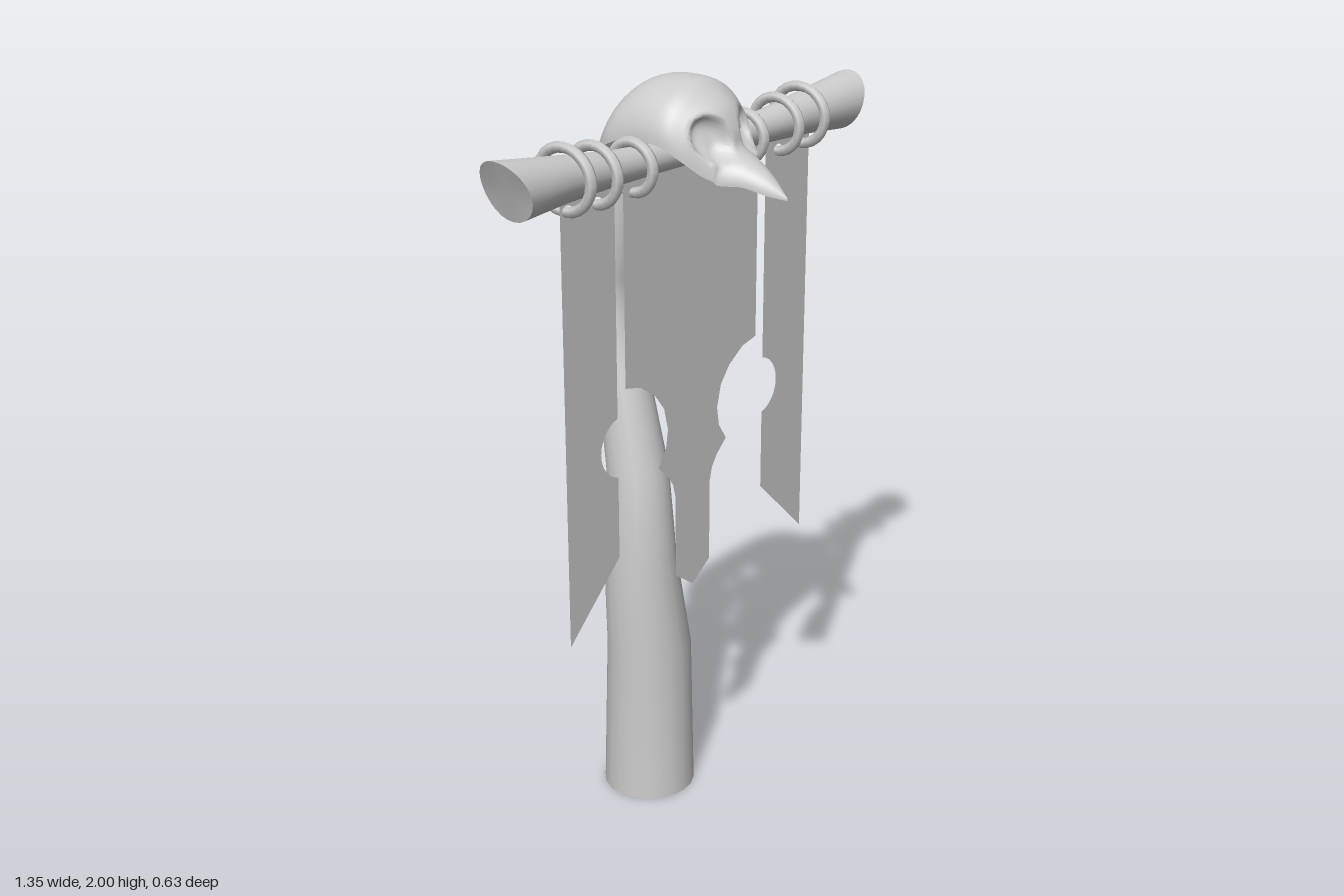
import * as THREE from 'three';

const grey = new THREE.MeshStandardMaterial({ color: 0xcccccc });
const thin = new THREE.MeshStandardMaterial({ color: 0xcccccc, side: THREE.DoubleSide });

function add(group, name, geometry, material = grey) {
  const mesh = new THREE.Mesh(geometry, material);
  mesh.name = name;
  group.add(mesh);
  return mesh;
}

// Skin a list of equal-length cross-sections; closed ones get end caps
function loft(sections, closed) {
  const n = sections[0].length, pos = [], idx = [];
  sections.forEach(s => s.forEach(p => pos.push(p.x, p.y, p.z)));
  for (let i = 0; i < sections.length - 1; i++) {
    for (let j = 0; j < (closed ? n : n - 1); j++) {
      const k = (j + 1) % n, a = i * n + j, b = i * n + k;
      idx.push(a, b, a + n, b, b + n, a + n);
    }
  }
  if (closed) {
    [sections[0], sections[sections.length - 1]].forEach((s, end) => {
      const base = pos.length / 3;
      const mid = s.reduce((m, p) => m.add(p), new THREE.Vector3()).divideScalar(n);
      [mid, ...s].forEach(p => pos.push(p.x, p.y, p.z));
      for (let j = 0; j < n; j++) {
        const a = base + 1 + j, b = base + 1 + (j + 1) % n;
        if (end) idx.push(base, a, b); else idx.push(base, b, a);
      }
    });
  }
  const g = new THREE.BufferGeometry();
  g.setAttribute('position', new THREE.Float32BufferAttribute(pos, 3));
  g.setIndex(idx);
  g.computeVertexNormals();
  return g;
}

function ring(c, u, v, r, n) {
  return Array.from({ length: n }, (_, j) => {
    const a = j / n * Math.PI * 2;
    return c.clone().addScaledVector(u, r * Math.cos(a)).addScaledVector(v, r * Math.sin(a));
  });
}

// Crooked pole, tapering and hooking forward under the skull: x, y, z, radius
function poleGeometry() {
  const path = [
    [-0.005, 0, -0.122, 0.125], [-0.002, 0.43, -0.122, 0.115], [-0.037, 0.7, -0.121, 0.098],
    [-0.021, 0.94, -0.141, 0.083], [-0.01, 1.2, -0.2, 0.069], [0, 1.35, -0.248, 0.065],
    [0, 1.47, -0.244, 0.065], [0, 1.72, -0.168, 0.06], [0, 1.8, -0.125, 0.055], [0, 1.845, -0.03, 0.047]];
  const pts = path.map(p => new THREE.Vector3(p[0], p[1], p[2]));
  const X = new THREE.Vector3(1, 0, 0);
  return loft(pts.map((c, i) => {
    const t = i === 0 ? new THREE.Vector3(0, 1, 0)
      : pts[Math.min(i + 1, pts.length - 1)].clone().sub(pts[i - 1]).normalize();
    const v = t.clone().cross(X).normalize();
    return ring(c, v.clone().cross(t).normalize(), v, path[i][3], 20);
  }), true);
}

// Crossbar flaring to obliquely cut, slightly bowed ends: x, centre y, radius, slant, bow
function crossbarGeometry() {
  const Y = new THREE.Vector3(0, 1, 0), Z = new THREE.Vector3(0, 0, 1);
  const half = [[0.12, 1.818, 0.036, 0, 0], [0.3, 1.823, 0.043, 0, 0],
    [0.48, 1.831, 0.057, 0.1, 0], [0.635, 1.837, 0.074, 0.4, 1.8]];
  const all = [...half.map(([x, ...r]) => [-x, ...r]).reverse(), ...half];
  return loft(all.map(([x, y, r, slant, bow]) => {
    const s = ring(new THREE.Vector3(x, y, 0.019), Y, Z, r, 24);
    s.forEach(p => { p.x += Math.sign(x) * (slant * (p.y - y) + bow * (p.y - y) ** 2); });
    return s;
  }), true);
}

// Hollow bird skull: arches along z, given as z, half width, crown y, rim y
function skullGeometry() {
  const keys = [
    [-0.195, 0.098, 1.8, 1.785], [-0.172, 0.122, 1.88, 1.805], [-0.12, 0.152, 1.957, 1.835],
    [-0.05, 0.156, 1.993, 1.86], [0.045, 0.155, 1.994, 1.855], [0.095, 0.136, 1.968, 1.825],
    [0.135, 0.107, 1.935, 1.79], [0.16, 0.09, 1.885, 1.775], [0.172, 0.08, 1.842, 1.765],
    [0.22, 0.052, 1.815, 1.763], [0.27, 0.028, 1.783, 1.747], [0.315, 0.001, 1.742, 1.736]];
  const heights = new THREE.CatmullRomCurve3(keys.map(k => new THREE.Vector3(k[0], k[2], k[3])), false, 'catmullrom');
  const widths = new THREE.CatmullRomCurve3(keys.map(k => new THREE.Vector3(k[0], k[1], 0)), false, 'catmullrom');
  const sections = [], rows = 55, cols = 40;
  for (let i = 0; i <= rows; i++) {
    const h = heights.getPoint(i / rows), w = widths.getPoint(i / rows).y;
    const s = [];
    for (let j = 0; j <= cols; j++) {
      const a = j / cols * Math.PI;
      const p = new THREE.Vector3(w * Math.cos(a), h.z + (h.y - h.z) * Math.sin(a), h.x);
      // Tall eye sockets pushed into the face either side of the nose ridge
      const d = Math.hypot((Math.abs(p.x) - 0.064) / 0.046, (p.y - 1.868) / 0.056);
      if (p.z > 0.06 && d < 1) p.z -= 0.045 * (1 - d ** 3);
      s.push(p);
    }
    sections.push(s);
  }
  return loft(sections, false);
}

// Flat cloth with small eyelets where the rings pass through
function panelGeometry(shape, holeXs) {
  holeXs.forEach(x => {
    const hole = new THREE.Path();
    hole.absellipse(x, 1.755, 0.018, 0.014, 0, Math.PI * 2, true);
    shape.holes.push(hole);
  });
  return new THREE.ShapeGeometry(shape, 10);
}

// Middle cloth with round bites above a pointed tail
function centrePanel() {
  const side = s => [[0.261, 1.275], [0.205, 1.262], [0.15, 1.225], [0.115, 1.18], [0.1, 1.12],
    [0.108, 1.07], [0.138, 1.025], [0.1, 0.99], [0.08, 0.96], [0.07, 0.92], [0.07, 0.7]]
    .map(([x, y]) => new THREE.Vector2(s * x - 0.003, y));
  return new THREE.Shape([new THREE.Vector2(-0.264, 1.785), ...side(-1), new THREE.Vector2(-0.003, 0.65),
    ...side(1).reverse(), new THREE.Vector2(0.258, 1.785)]);
}

// Side cloth with a round notch on its inner edge and a slanted hem
function sidePanel(s) {
  const o = s > 0 ? 0.01 : 0;
  const pts = [[0.475, 1.785], [0.475, 0.65], [0.288, 0.83], [0.288, 1.045]];
  for (let i = 0; i <= 12; i++) {
    const a = -1.35 + i / 12 * 2.7;
    pts.push([0.27 + 0.08 * Math.cos(a), 1.125 + 0.08 * Math.sin(a)]);
  }
  pts.push([0.288, 1.205], [0.288, 1.785]);
  return new THREE.Shape(pts.map(([x, y]) => new THREE.Vector2(s * (x + o), y)));
}

export function createModel() {
  const model = new THREE.Group();
  model.name = 'bannerTotem';
  add(model, 'pole', poleGeometry());
  add(model, 'crossbar', crossbarGeometry());
  add(model, 'skull', skullGeometry(), thin);

  // Six-sided block joining bar and pole beneath the skull
  const block = add(model, 'crossbarBlock', new THREE.CylinderGeometry(0.063, 0.063, 0.14, 6).toNonIndexed());
  block.geometry.computeVertexNormals();
  block.rotation.z = Math.PI / 2;
  block.position.set(0, 1.805, -0.025);

  // Cloth panels hanging from the bar
  add(model, 'centrePanel', panelGeometry(centrePanel(), [-0.225, 0.222]), thin).position.z = 0.032;
  for (const s of [-1, 1]) {
    const name = s > 0 ? 'leftPanel' : 'rightPanel';
    add(model, name, panelGeometry(sidePanel(s), [s * 0.45, s * 0.35]), thin).position.z = 0.026;

    // Rings around the bar, larger toward the ends: x, centre y, half height, half depth
    for (const [x, y, h, d] of [[0.45, 1.827, 0.088, 0.097], [0.35, 1.819, 0.083, 0.089], [0.215, 1.812, 0.074, 0.079]]) {
      const ringMesh = add(model, 'hangingRing', new THREE.TorusGeometry(d - 0.0145, 0.0145, 6, 24));
      ringMesh.rotation.y = Math.PI / 2;
      ringMesh.scale.y = h / d;
      ringMesh.position.set(s * x, y, 0.018);
    }
  }
  return model;
}
